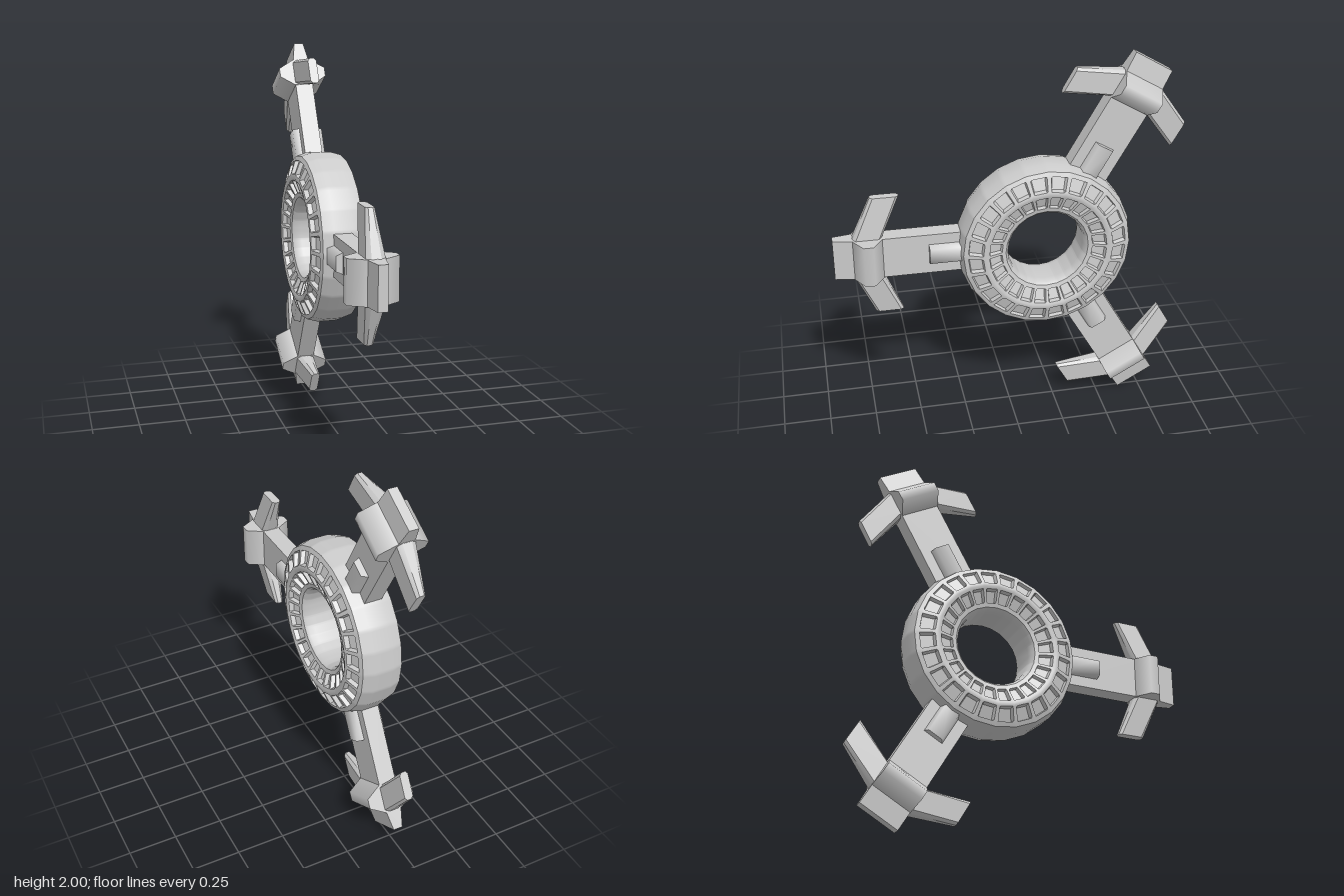
import * as THREE from 'three';
import { toCreasedNormals } from 'three/addons/utils/BufferGeometryUtils.js';
import { ConvexGeometry } from 'three/addons/geometries/ConvexGeometry.js';

const material = new THREE.MeshStandardMaterial({ color: 0xcccccc });

function addMesh(parent, name, geometry, crease) {
  const mesh = new THREE.Mesh(toCreasedNormals(geometry, crease), material);
  mesh.name = name;
  parent.add(mesh);
  return mesh;
}

// Ring around the x axis with two rows of sunken panels on each face.
function ringGeometry() {
  const sectors = 24, depth = 0.022;
  // [radius, x, sunken]
  const half = [
    [0.2, 0.06], [0.205, 0.092], [0.218, 0.108], [0.233, 0.112],
    [0.24, 0.114], [0.246, 0.116, 1], [0.305, 0.138, 1], [0.31, 0.14],
    [0.322, 0.145], [0.336, 0.145],
    [0.342, 0.143], [0.348, 0.141, 1], [0.41, 0.119, 1], [0.416, 0.117],
    [0.438, 0.107], [0.455, 0.05],
  ];
  const profile = [...half, ...half.map(([r, x, s]) => [r, -x, s]).reverse()];
  // Position within a sector, and whether it lies inside the panel
  const steps = [[0, 0], [0.1, 0], [0.17, 1], [0.83, 1], [0.9, 0]];
  const step = (Math.PI * 2) / sectors;
  const positions = [], index = [];
  for (let s = 0; s < sectors; s++) {
    for (const [f, inside] of steps) {
      const chord = Math.cos(step / 2) / Math.cos((f - 0.5) * step);
      const a = (s + f) * step;
      for (const [r, x, sunken] of profile) {
        const px = sunken && inside ? x - Math.sign(x) * depth : x;
        positions.push(px, r * chord * Math.cos(a), r * chord * Math.sin(a));
      }
    }
  }
  const m = profile.length, n = sectors * steps.length;
  for (let i = 0; i < n; i++) {
    for (let j = 0; j < m; j++) {
      const i2 = (i + 1) % n, j2 = (j + 1) % m;
      const a = i * m + j, b = i * m + j2, c = i2 * m + j, d = i2 * m + j2;
      index.push(a, b, c, b, d, c);
    }
  }
  const g = new THREE.BufferGeometry();
  g.setAttribute('position', new THREE.Float32BufferAttribute(positions, 3));
  g.setIndex(index);
  return g;
}

// Convex solid from points mirrored across x.
function hull(points) {
  const all = [];
  for (const [x, y, z] of points) {
    all.push(new THREE.Vector3(x, y, z), new THREE.Vector3(-x, y, z));
  }
  return new ConvexGeometry(all);
}

// Same [x, z] outline carried across the width, from -w to w.
const across = (outline, w) =>
  hull(outline.flatMap(([x, z]) => [[x, -w, z], [x, w, z]]));

// One fin: swept back, thinner at its outer end, with chamfered edges.
function finGeometry(side) {
  const points = [];
  for (const [y, z0, z1, t] of [[0.1, 0.845, 0.993, 0.049], [0.33, 0.745, 0.89, 0.023]]) {
    points.push([t * 0.5, y * side, z0], [t, y * side, z0 + 0.015],
      [t, y * side, z1 - 0.015], [t * 0.5, y * side, z1]);
  }
  return hull(points);
}

// Arm pointing along +z from the ring centre.
function makeArm() {
  const arm = new THREE.Group();
  arm.name = 'arm';
  addMesh(arm, 'armBeam', new THREE.BoxGeometry(0.095, 0.22, 0.47).translate(0, 0, 0.635), 0.5);
  // Raised pad showing on both faces
  addMesh(arm, 'armPad', hull([0.4, 0.605].flatMap((z) =>
    [[0.082, -0.04, z], [0.082, 0.04, z], [0.045, -0.055, z], [0.045, 0.055, z]])), 1.2);
  // Swollen block that carries the fins
  addMesh(arm, 'finBlock', across(
    [[0.05, 0.84], [0.127, 0.89], [0.127, 0.94], [0.045, 0.99]], 0.111), 1.1);
  addMesh(arm, 'armTip', across([[0.046, 0.97], [0.025, 1.09]], 0.11), 0.5);
  for (const side of [-1, 1]) addMesh(arm, 'fin', finGeometry(side), 0.4);
  return arm;
}

export function createModel() {
  const model = new THREE.Group();
  model.name = 'threeArmedRing';
  const body = new THREE.Group();
  body.name = 'body';
  body.position.set(0, 1, -0.18);
  model.add(body);

  addMesh(body, 'ring', ringGeometry(), 0.6);
  for (let i = 0; i < 3; i++) {
    const arm = makeArm();
    arm.position.x = -0.007;
    arm.rotation.x = (i * Math.PI * 2) / 3;
    body.add(arm);
  }
  return model;
}
